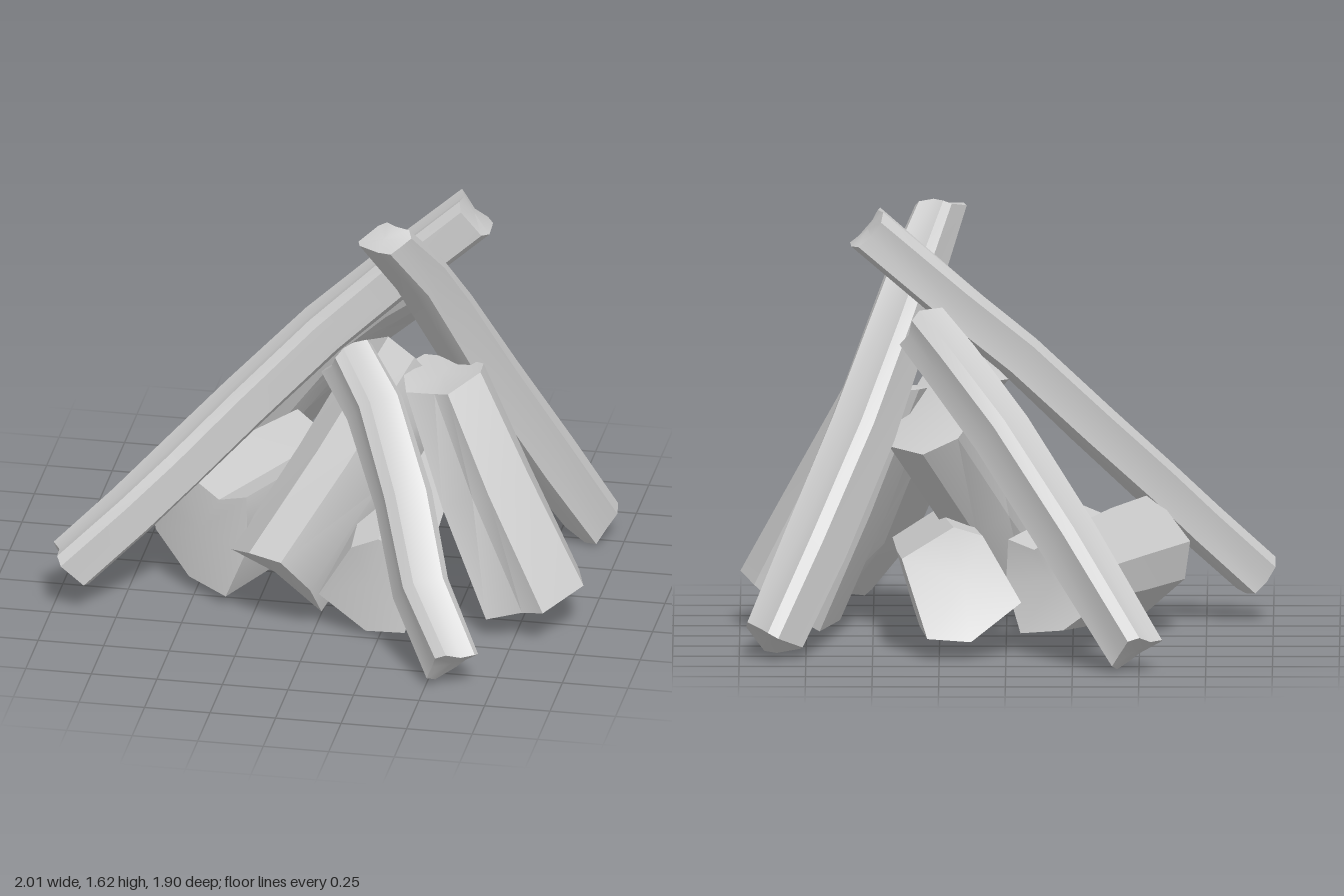
import * as THREE from 'three';
import { toCreasedNormals } from 'three/addons/utils/BufferGeometryUtils.js';

const material = new THREE.MeshStandardMaterial({ color: 0xcccccc });
const UP = new THREE.Vector3(0, 1, 0);

// Sweeps a split-wood section along a path of [x, y, z, scale].
// Ends are wavy; cuts = [start, end] optionally gives the plane normals of slanted ends.
function timber(name, path, section, wave, cuts = []) {
  const n = section.length;
  const pts = path.map((p) => new THREE.Vector3(p[0], p[1], p[2]));
  const last = pts.length - 1;
  const pos = [], index = [];
  pts.forEach((p, i) => {
    const t = pts[Math.min(i + 1, last)].clone().sub(pts[Math.max(i - 1, 0)]).normalize();
    const u = UP.clone().cross(t).normalize();
    const v = t.clone().cross(u);
    const s = path[i][3] ?? 1;
    const isEnd = i === 0 || i === last;
    const cut = isEnd && cuts[i === 0 ? 0 : 1];
    const normal = cut ? new THREE.Vector3(...cut) : t;
    section.forEach(([a, b]) => {
      const offset = u.clone().multiplyScalar(a * s).addScaledVector(v, b * s);
      let slip = -offset.dot(normal) / t.dot(normal);
      if (isEnd) slip += wave * Math.cos(2 * Math.atan2(b, a) + i);
      pos.push(...offset.addScaledVector(t, slip).add(p).toArray());
    });
  });
  for (let i = 0; i < last; i++) {
    for (let j = 0; j < n; j++) {
      const k = (j + 1) % n;
      const a = i * n + j, b = i * n + k, c = a + n, d = b + n;
      index.push(a, b, d, a, d, c);
    }
  }
  // End caps
  const c0 = pos.length / 3;
  pos.push(...pts[0].toArray(), ...pts[last].toArray());
  for (let j = 0; j < n; j++) {
    const k = (j + 1) % n;
    index.push(c0, k, j, c0 + 1, last * n + j, last * n + k);
  }
  const geo = new THREE.BufferGeometry();
  geo.setAttribute('position', new THREE.Float32BufferAttribute(pos, 3));
  geo.setIndex(index);
  const mesh = new THREE.Mesh(toCreasedNormals(geo, 0.55), material);
  mesh.name = name;
  return mesh;
}

// Squarish stick section with chamfered corners and a shallow groove on top
const stickSection = [
  [0.09, -0.06], [0.085, 0.06], [0.055, 0.088], [0, 0.078], [-0.06, 0.088],
  [-0.09, 0.055], [-0.08, -0.01], [-0.087, -0.07], [-0.045, -0.088], [0.055, -0.085],
];

// Leaning sticks, top to bottom
const sticks = {
  stickLeft: {
    path: [[0.52, 1.56, -0.02], [0.2, 1.28, 0.01], [-0.04, 1.07, 0.07], [-0.32, 0.79, 0.16],
      [-0.55, 0.56, 0.27], [-0.72, 0.39, 0.35], [-0.94, 0.18, 0.43]],
  },
  stickBackRight: {
    path: [[0.245, 1.6, 0.345, 0.85], [0.34, 1.37, 0.15], [0.41, 1.17, 0.02, 1.1], [0.54, 0.82, -0.17, 1.18],
      [0.72, 0.41, -0.38, 1.18], [0.875, 0.08, -0.54, 1.08]],
    cuts: [[0, 1, 0.2]],
  },
  stickFront: {
    path: [[0.07, 1.02, 0.18], [0.2, 0.87, 0.29, 1.05], [0.35, 0.6, 0.5, 1.08], [0.45, 0.33, 0.69, 1.05],
      [0.6, 0.11, 0.86]],
  },
  stickBackLeft: {
    path: [[0.31, 1.2, -0.12], [0.2, 1.08, -0.25, 1.05], [0.01, 0.85, -0.46, 1.08], [-0.24, 0.48, -0.67, 1.08],
      [-0.49, 0.09, -0.87]],
  },
};

// Split logs, each with its own section
const logs = {
  logRight: {
    path: [[0.43, 0.95, 0.12, 0.75], [0.61, 0.54, 0.21, 0.9], [0.81, 0.12, 0.28, 1]],
    section: [[0.21, -0.07], [0.19, 0.1], [0.03, 0.21], [-0.165, 0.13], [-0.15, 0.03],
      [-0.2, -0.1], [-0.05, -0.2], [0.12, -0.19]],
    cuts: [[-0.15, 1, 0.05]],
  },
  logMiddle: {
    path: [[0.25, 0.88, -0.1, 1], [0.05, 0.54, 0.17, 1], [-0.16, 0.21, 0.41, 1]],
    section: [[0.19, -0.02], [0.16, 0.16], [0.02, 0.19], [-0.17, 0.09], [-0.14, -0.11],
      [-0.05, -0.22], [0.13, -0.19]],
  },
  logLeft: {
    path: [[-0.18, 0.28, -0.4, 0.86], [-0.33, 0.28, -0.07, 0.97], [-0.48, 0.28, 0.24, 1]],
    section: [[0.22, -0.02], [0.2, 0.18], [0.08, 0.14], [-0.07, 0.24], [-0.23, 0.07],
      [-0.22, -0.07], [-0.05, -0.21], [0.14, -0.23]],
    cuts: [[0.2, 0, -1]],
  },
  logBack: {
    path: [[0.16, 0.29, -0.49, 1.08], [0.19, 0.26, -0.05, 1.05], [0.22, 0.235, 0.49, 1]],
    section: [[0.21, 0.08], [0.03, 0.19], [-0.07, 0.16], [-0.2, -0.07], [-0.02, -0.2], [0.13, -0.19]],
    cuts: [[0, 0.4, -1]],
  },
};

export function createModel() {
  const model = new THREE.Group();
  model.name = 'woodPile';
  for (const [name, { path, cuts }] of Object.entries(sticks)) {
    model.add(timber(name, path, stickSection, 0.018, cuts));
  }
  for (const [name, { path, section, cuts }] of Object.entries(logs)) {
    model.add(timber(name, path, section, 0.025, cuts));
  }
  return model;
}
